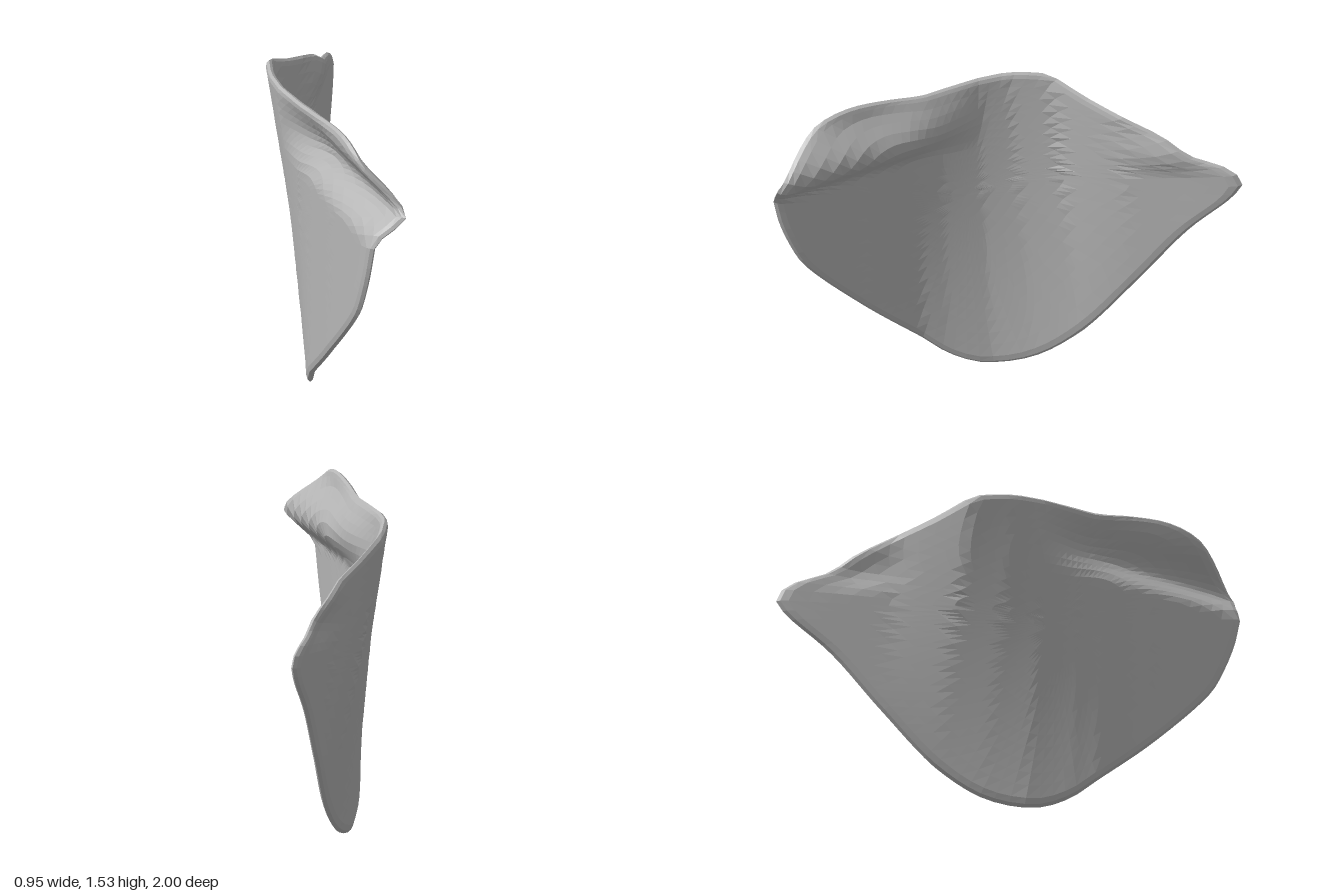
import * as THREE from 'three';

// Outline of the plate as [z, y], clockwise seen from its left side
const OUTLINE = [
  [1, 1.27], [0.95, 1.32], [0.82, 1.42], [0.7, 1.5], [0.57, 1.53], [0.4, 1.52], [0.2, 1.49],
  [0, 1.485], [-0.3, 1.48], [-0.4, 1.46], [-0.5, 1.385], [-0.62, 1.31], [-0.74, 1.235],
  [-0.82, 1.16], [-0.96, 1.1], [-1, 1.04], [-0.97, 0.97], [-0.8, 0.77], [-0.6, 0.47],
  [-0.4, 0.2], [-0.23, 0.05], [-0.08, 0], [0, 0.01], [0.1, 0.06], [0.2, 0.15], [0.48, 0.4],
  [0.78, 0.72], [0.84, 0.83], [0.9, 0.98], [0.95, 1.17],
];

// Bend of the sheet: [z, x at lower edge, y there, x at upper edge, y there]
const BEND = [
  [-1, 0.475, 1, 0.47, 1.1], [-0.8, 0.33, 0.77, 0.27, 1.17], [-0.6, 0.19, 0.47, 0.07, 1.32],
  [-0.4, 0.06, 0.2, -0.22, 1.45], [-0.23, -0.07, 0.05, -0.31, 1.48],
  [-0.08, -0.19, 0, -0.345, 1.48], [0.1, -0.3, 0.06, -0.36, 1.48],
  [0.2, -0.35, 0.15, -0.36, 1.49], [0.48, -0.412, 0.4, -0.395, 1.52],
  [0.78, -0.45, 0.72, -0.43, 1.46], [0.9, -0.465, 0.98, -0.445, 1.4], [1, -0.47, 1.2, -0.45, 1.3],
];

// Height of the long fold along z
const FOLD = [[-0.1, 0], [0.1, 0.055], [0.3, 0.09], [0.6, 0.105], [1, 0.125]];

function lookup(table, z) {
  const last = table.length - 1;
  if (z <= table[0][0]) return table[0].slice(1);
  if (z >= table[last][0]) return table[last].slice(1);
  const i = table.findIndex((row) => row[0] > z);
  const a = table[i - 1], b = table[i];
  const t = (z - a[0]) / (b[0] - a[0]);
  return a.slice(1).map((v, k) => THREE.MathUtils.lerp(v, b[k + 1], t));
}

const falloff = (d) => 1 - THREE.MathUtils.smoothstep(Math.abs(d), 0, 1);

// Middle surface of the sheet, x as a function of z and y
function sheetX(z, y) {
  const [xLow, yLow, xHigh, yHigh] = lookup(BEND, z);
  const t = THREE.MathUtils.clamp((y - yLow) / (yHigh - yLow), 0, 1);
  const u = y - (1.32 - 0.04 * z);
  const fold = lookup(FOLD, z)[0] * falloff(u < 0 ? u / 0.17 : u / 0.2);
  const v = y - 1.15;
  const dent = 0.035 * falloff((z + 0.73) / 0.2) * falloff(v / 0.12);
  return THREE.MathUtils.lerp(xLow, xHigh, t) + fold + dent;
}

function surfacePoint(z, y, offset) {
  const e = 0.02;
  const slopeY = (sheetX(z, y + e) - sheetX(z, y - e)) / (2 * e);
  const slopeZ = (sheetX(z + e, y) - sheetX(z - e, y)) / (2 * e);
  const normal = new THREE.Vector3(1, -slopeY, -slopeZ).normalize();
  return normal.multiplyScalar(offset).add(new THREE.Vector3(sheetX(z, y), y, z));
}

function plateGeometry() {
  const curve = new THREE.CatmullRomCurve3(
    OUTLINE.map(([z, y]) => new THREE.Vector3(z, y, 0)), true, 'centripetal');
  const count = 96;
  const rim = curve.getSpacedPoints(count);
  const center = new THREE.Vector3(0, 0.9, 0);
  const half = 0.018;

  // Rings run out over the inner face, round the rim and back over the outer face
  const rings = [];
  for (let i = 0; i <= 14; i++) rings.push([0.955 * i / 14, half]);
  rings.push([0.985, half * 0.7], [1, 0], [0.985, -half * 0.7]);
  for (let i = 14; i >= 0; i--) rings.push([0.955 * i / 14, -half]);

  const positions = [], indices = [];
  rings.forEach(([s, offset], r) => {
    for (let i = 0; i < count; i++) {
      const p = center.clone().lerp(rim[i], s);
      positions.push(...surfacePoint(p.x, p.y, offset).toArray());
      if (r === rings.length - 1) continue;
      const a = r * count + i, b = r * count + (i + 1) % count;
      if (r > 0) indices.push(a, b, b + count);
      else { indices.push(a, b + count, a + count); continue; }
      if (r < rings.length - 2) indices.push(a, b + count, a + count);
    }
  });
  const geometry = new THREE.BufferGeometry();
  geometry.setAttribute('position', new THREE.Float32BufferAttribute(positions, 3));
  geometry.setIndex(indices);
  geometry.computeVertexNormals();
  return geometry;
}

export function createModel() {
  const group = new THREE.Group();
  group.name = 'curvedPlate';
  const grey = new THREE.MeshStandardMaterial({ color: 0xb4b4b4, flatShading: true });
  grey.name = 'grey';
  const plate = new THREE.Mesh(plateGeometry(), grey);
  plate.name = 'foldedPlate';
  group.add(plate);
  return group;
}
